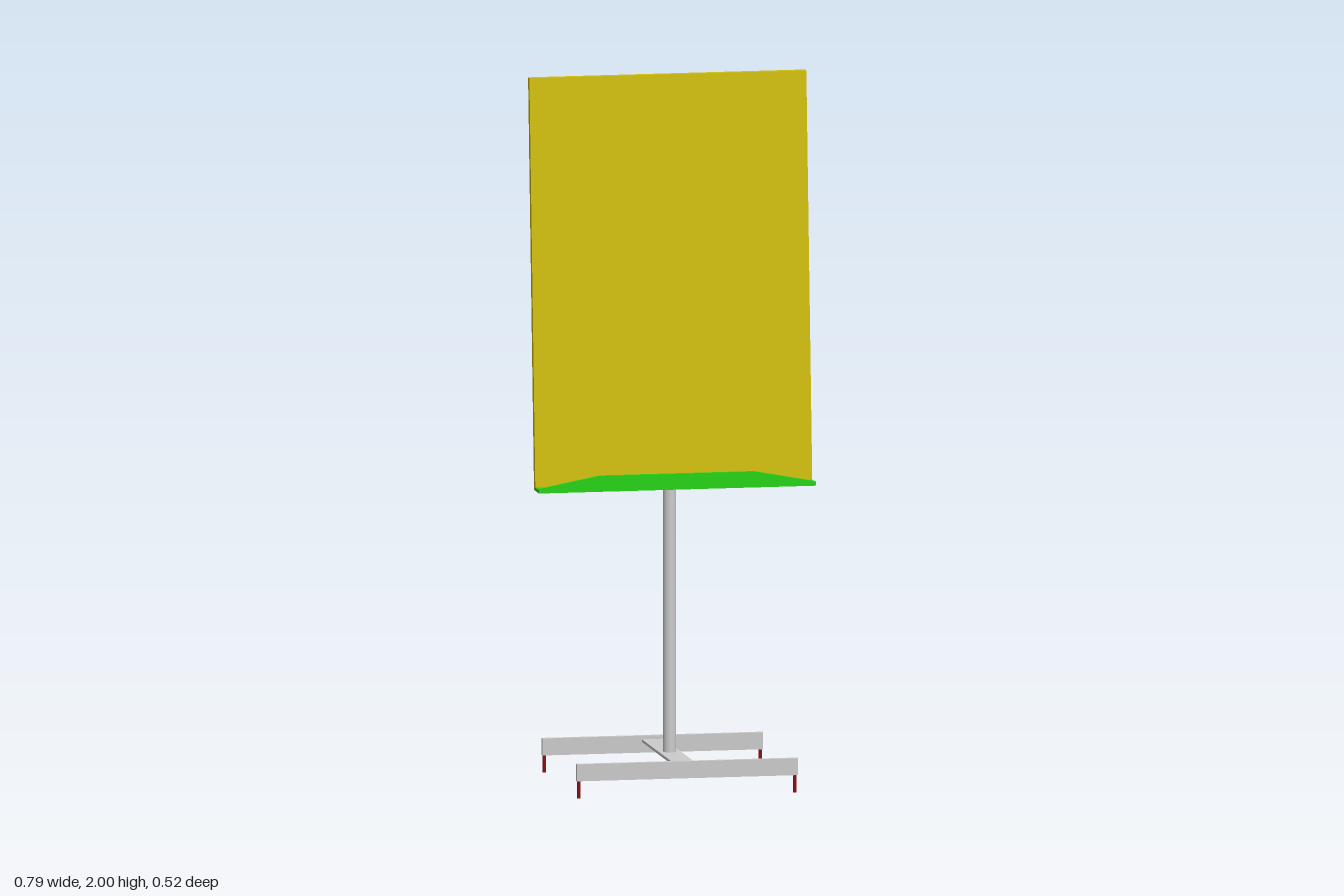
import * as THREE from 'three';
import { toCreasedNormals } from 'three/addons/utils/BufferGeometryUtils.js';

const material = (color) => new THREE.MeshStandardMaterial({ color });
const grey = material(0xcccccc);
const yellow = material(0xd0bd10);
const green = material(0x27d518);
const red = material(0x8b1212);

export function createModel() {
  const model = new THREE.Group();

  const add = (name, geometry, mat, x = 0, y = 0, z = 0) => {
    const mesh = new THREE.Mesh(geometry, mat);
    mesh.name = name;
    mesh.position.set(x, y, z);
    model.add(mesh);
    return mesh;
  };

  // Extrudes a (z, y) side profile across the full width, centred on x = 0
  const acrossWidth = (points, width) => {
    const shape = new THREE.Shape(points.map(([z, y]) => new THREE.Vector2(-z, y)));
    return new THREE.ExtrudeGeometry(shape, { depth: width, bevelEnabled: false })
      .translate(0, 0, -width / 2)
      .rotateY(Math.PI / 2);
  };

  // Base: two bars joined by a flat cross strip, standing on thin pins
  for (const z of [-0.253, 0.253]) {
    add(z > 0 ? 'frontFootBar' : 'backFootBar', new THREE.BoxGeometry(0.63, 0.048, 0.014), grey, 0, 0.073, z);
    for (const x of [-0.308, 0.308]) {
      add('footPin', new THREE.CylinderGeometry(0.005, 0.005, 0.05, 12), red, x, 0.025, z);
    }
  }
  add('crossStrip', new THREE.BoxGeometry(0.062, 0.008, 0.493), grey, 0, 0.083, 0);

  // Post
  add('post', new THREE.CylinderGeometry(0.018, 0.018, 0.76, 32), grey, 0, 0.465, 0);

  // Leaning board
  add('board', acrossWidth([[0.062, 0.845], [-0.025, 2], [-0.045, 2], [0.042, 0.845]], 0.79), yellow);

  // Housing behind the board: tapers towards the back, with a sloping top
  const housing = new THREE.BoxGeometry(2, 2, 2);
  const p = housing.attributes.position;
  for (let i = 0; i < p.count; i++) {
    const front = p.getZ(i) > 0;
    const top = p.getY(i) > 0;
    const z = front ? (top ? 0.027 : 0.042) : -0.031;
    const y = top ? (front ? 1.05 : 1.015) : 0.845;
    p.setXYZ(i, p.getX(i) * (front ? 0.394 : 0.377), y, z);
  }
  // The front lies against the board, so only the outer walls are kept
  const outer = housing.toNonIndexed();
  const kept = Array.from(outer.attributes.position.array);
  kept.splice(4 * 18, 18);
  const shell = new THREE.BufferGeometry();
  shell.setAttribute('position', new THREE.Float32BufferAttribute(kept, 3));
  const shellMat = grey.clone();
  shellMat.side = THREE.DoubleSide;
  add('housing', toCreasedNormals(shell, THREE.MathUtils.degToRad(82)), shellMat);

  // Pen tray with a lip that drops towards both ends
  add('trayFloor', new THREE.BoxGeometry(0.79, 0.009, 0.055), green, 0, 0.8495, 0.0875);
  const lip = new THREE.Shape([
    [-0.395, 0.845], [0.395, 0.845], [0.395, 0.857], [0.22, 0.89], [-0.22, 0.89], [-0.395, 0.857],
  ].map(([x, y]) => new THREE.Vector2(x, y)));
  add('trayLip', new THREE.ExtrudeGeometry(lip, { depth: 0.01, bevelEnabled: false }), green, 0, 0, 0.105);

  return model;
}
